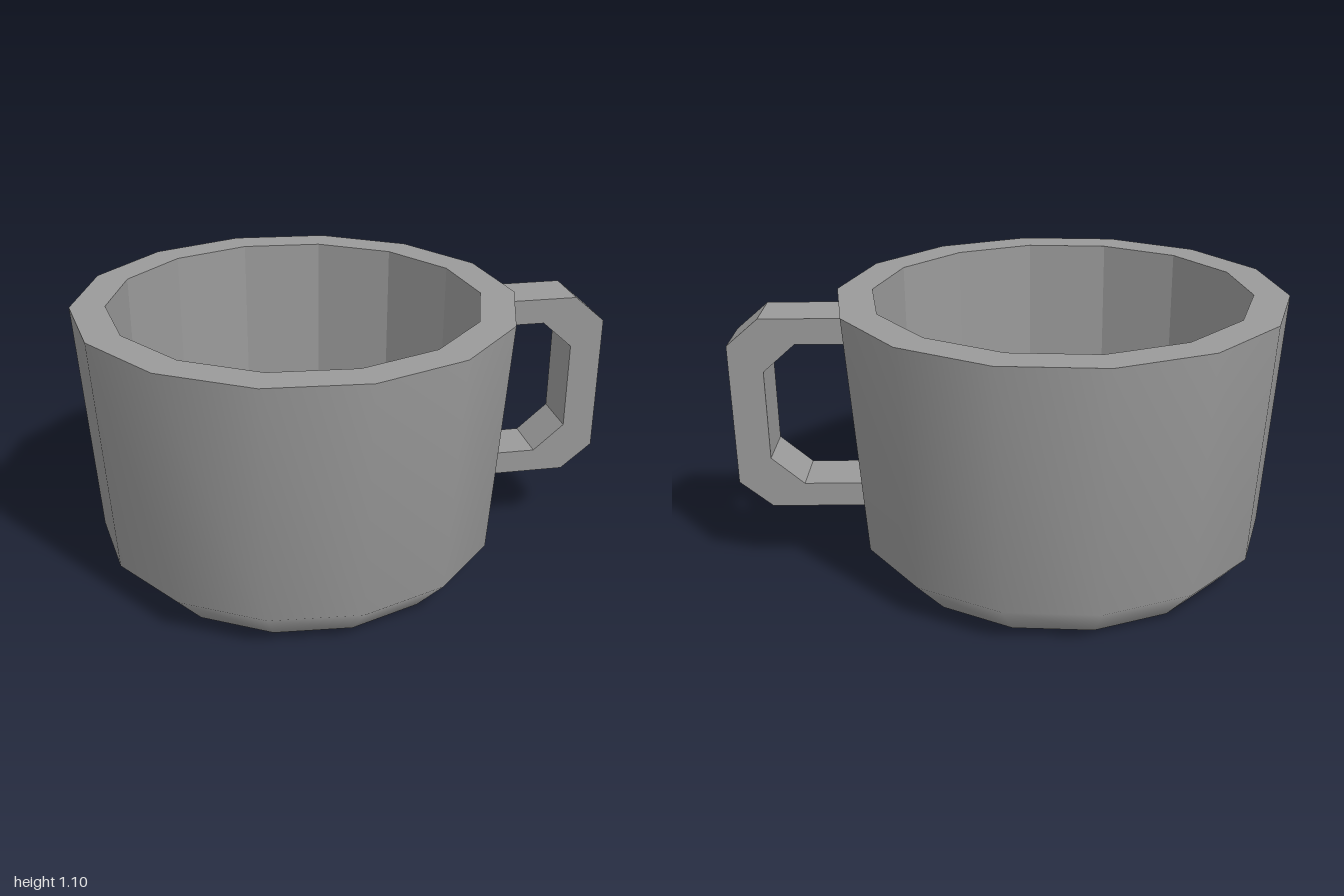
import * as THREE from 'three';

const SIDES = 14;
const COLOR = 0x9a9a9a;

// Fourteen-sided surface of revolution; the profile runs upward outside, downward inside
function turned(name, profile, flatShading) {
  const points = profile.map(([r, y]) => new THREE.Vector2(r, y));
  const geometry = new THREE.LatheGeometry(points, SIDES, Math.PI / 2);
  const material = new THREE.MeshStandardMaterial({ color: COLOR, flatShading });
  const mesh = new THREE.Mesh(geometry, material);
  mesh.name = name;
  return mesh;
}

export function createModel() {
  const mug = new THREE.Group();
  mug.name = 'mug';

  // Smooth outer wall with a chamfered foot
  mug.add(turned('outerWall', [[0.681, 0], [0.812, 0.143], [0.876, 1.1]], false));

  // Faceted rim, inner wall, gently sloped inner corner and floor
  mug.add(turned('rim', [[0.876, 1.1], [0.738, 1.1]], true));
  mug.add(turned('innerWall', [[0.738, 1.1], [0.731, 0.28], [0.48, 0.14]], true));
  mug.add(turned('innerFloor', [[0.48, 0.14], [0, 0.14]], true));

  // Flat underside
  mug.add(turned('base', [[0, 0], [0.681, 0]], true));

  // Chamfered C-shaped handle, swung toward the back and sunk into the wall
  const outline = [
    [0.77, 0.275], [1.146, 0.275], [1.272, 0.38], [1.272, 0.945], [1.146, 1.052], [0.77, 1.052],
    [0.77, 0.95], [1.015, 0.95], [1.14, 0.84], [1.14, 0.482], [1.015, 0.372], [0.77, 0.372],
  ];
  const shape = new THREE.Shape(outline.map(([x, y]) => new THREE.Vector2(x, y)));
  const handleGeometry = new THREE.ExtrudeGeometry(shape, { depth: 0.218, bevelEnabled: false });
  handleGeometry.translate(0, 0, -0.169);
  const handle = new THREE.Mesh(
    handleGeometry,
    new THREE.MeshStandardMaterial({ color: COLOR, flatShading: true })
  );
  handle.name = 'handle';
  handle.rotation.y = Math.PI / 6;
  mug.add(handle);

  // The bowl sits off-centre so that bowl and handle together are centred
  mug.position.x = -0.125;

  const model = new THREE.Group();
  model.add(mug);
  return model;
}
